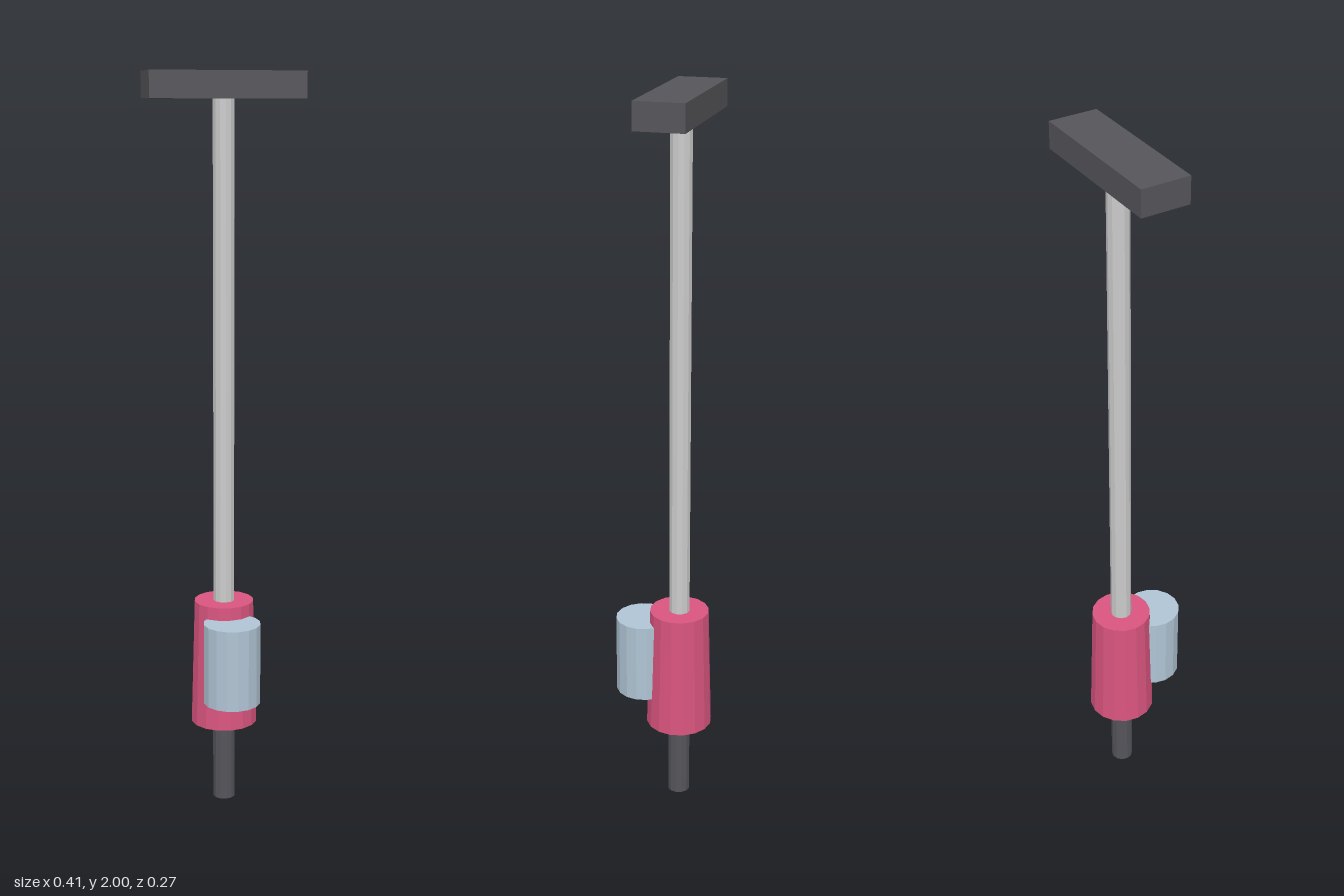
import * as THREE from 'three';

const AXIS_Z = -0.045; // shared axis of shaft, motor body and top bar

const material = (color) => new THREE.MeshStandardMaterial({ color, flatShading: true });

export function createModel() {
  const model = new THREE.Group();
  model.name = 'poleTool';

  const dark = material(0x55555a);
  const steel = material(0xc4c4c8);
  const red = material(0xd9557f);
  const paleBlue = material(0xb0c4d4);

  const add = (name, geometry, mat, y, z) => {
    const mesh = new THREE.Mesh(geometry, mat);
    mesh.name = name;
    mesh.position.set(0, y, z);
    model.add(mesh);
  };

  // Upright cylinder spanning y0 to y1
  const column = (name, rTop, rBottom, y0, y1, z, sides, mat) =>
    add(name, new THREE.CylinderGeometry(rTop, rBottom, y1 - y0, sides), mat, (y0 + y1) / 2, z);

  // Lower tip, tapered body, side canister and long shaft
  column('tip', 0.031, 0.031, 0, 0.23, AXIS_Z, 12, dark);
  column('body', 0.082, 0.092, 0.23, 0.58, AXIS_Z, 16, red);
  column('canister', 0.078, 0.078, 0.32, 0.545, 0.058, 16, paleBlue);
  column('shaft', 0.029, 0.029, 0.58, 1.93, AXIS_Z, 12, steel);

  // Crossbar handle
  add('crossbar', new THREE.BoxGeometry(0.412, 0.07, 0.13), dark, 1.965, AXIS_Z);

  return model;
}
